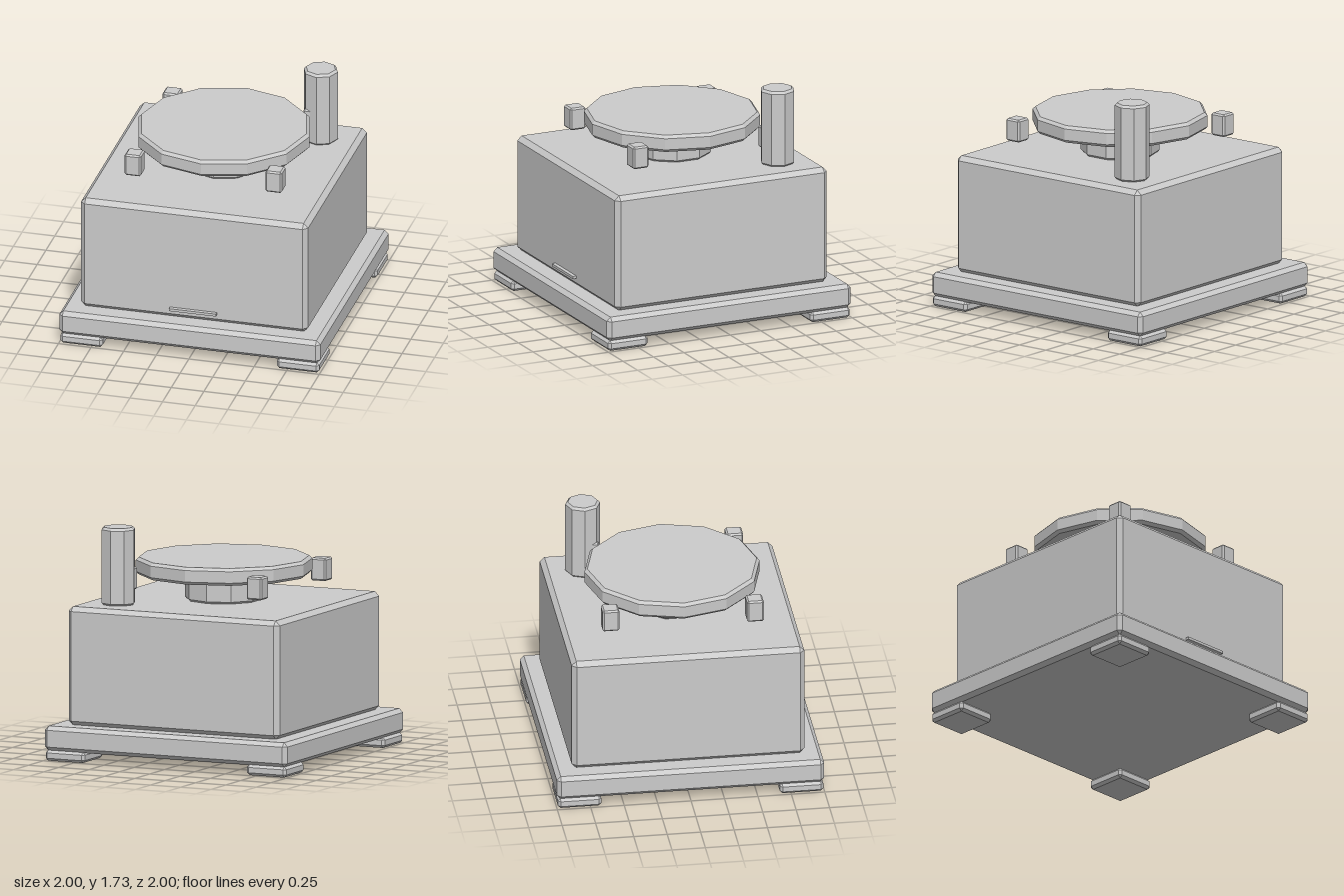
import * as THREE from 'three';
import { ConvexGeometry } from 'three/addons/geometries/ConvexGeometry.js';

const material = new THREE.MeshStandardMaterial({ color: 0xcccccc, flatShading: true });

// Box with every edge chamfered by c, standing on its own y = 0
function chamferBox(w, h, d, c) {
  const points = [];
  for (const sx of [-1, 1]) for (const sy of [-1, 1]) for (const sz of [-1, 1]) {
    for (let full = 0; full < 3; full++) {
      const inset = [c, c, c];
      inset[full] = 0;
      points.push(new THREE.Vector3(
        sx * (w / 2 - inset[0]), h / 2 + sy * (h / 2 - inset[1]), sz * (d / 2 - inset[2])));
    }
  }
  return new ConvexGeometry(points);
}

// Faceted cylinder with chamfered rims, standing on its own y = 0
function chamferCylinder(r, h, c, sides) {
  const profile = [[0, 0], [r - c, 0], [r, c], [r, h - c], [r - c, h], [0, h]]
    .map(([x, y]) => new THREE.Vector2(x, y));
  return new THREE.LatheGeometry(profile, sides);
}

export function createModel() {
  const model = new THREE.Group();
  const add = (name, geometry, x, y, z) => {
    const mesh = new THREE.Mesh(geometry, material);
    mesh.name = name;
    mesh.position.set(x, y, z);
    model.add(mesh);
  };

  // Plinth and main housing
  add('base', chamferBox(2, 0.185, 2, 0.03), 0, 0.075, 0);
  add('body', chamferBox(1.74, 0.89, 1.74, 0.035), 0, 0.255, 0);

  // Corner feet, and small blocks floating around the disc
  const foot = chamferBox(0.325, 0.08, 0.325, 0.02);
  const block = chamferBox(0.125, 0.17, 0.125, 0.012);
  for (const sx of [-1, 1]) for (const sz of [-1, 1]) {
    add('foot', foot, sx * 0.83, 0, sz * 0.83);
    add('block', block, sx * 0.54, 1.25, sz * 0.54);
  }

  // Pedestal, disc and corner post
  add('pedestal', chamferCylinder(0.293, 0.22, 0.02, 10), 0, 1.14, 0);
  add('disc', chamferCylinder(0.655, 0.13, 0.022, 12), 0, 1.335, 0);
  add('post', chamferCylinder(0.13, 0.585, 0.018, 8), 0.585, 1.14, -0.585);

  // Thin strip on the front face
  add('frontStrip', new THREE.BoxGeometry(0.36, 0.02, 0.06), 0, 0.335, 0.87);

  return model;
}
